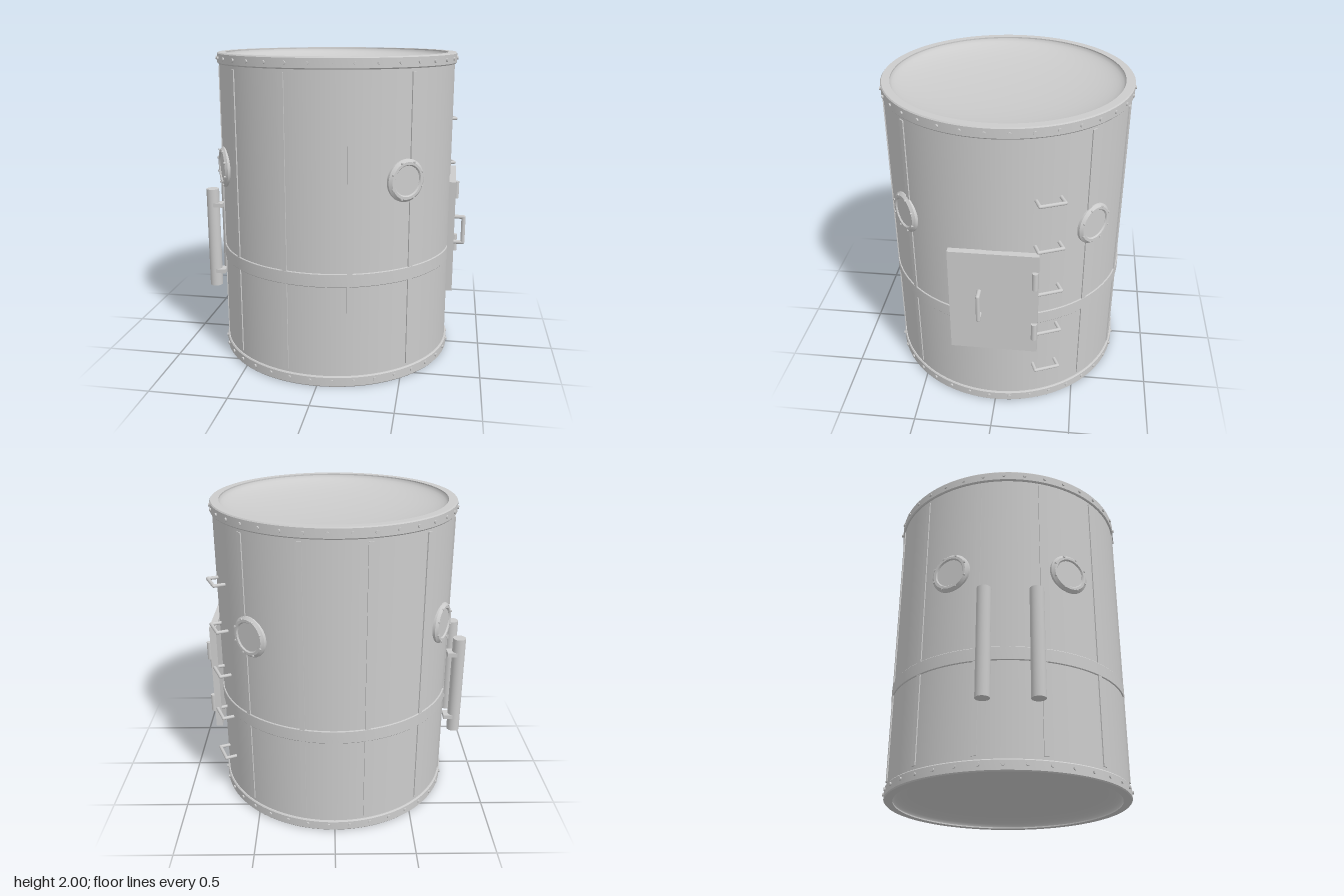
import * as THREE from 'three';
import { toCreasedNormals } from 'three/addons/utils/BufferGeometryUtils.js';

const R = 0.764; // shell radius
const SEG = 96;
const rad = THREE.MathUtils.degToRad;

export function createModel() {
  const model = new THREE.Group();
  const mat = new THREE.MeshStandardMaterial({ color: 0xcccccc });
  const matDouble = new THREE.MeshStandardMaterial({ color: 0xcccccc, side: THREE.DoubleSide });

  function add(name, geometry, x = 0, y = 0, z = 0, parent = model, material = mat) {
    const mesh = new THREE.Mesh(geometry, material);
    mesh.name = name;
    mesh.position.set(x, y, z);
    parent.add(mesh);
    return mesh;
  }
  // Group turned so that its local +z points outward; angle runs from front (+z) towards +x
  function around(name, deg, y = 0) {
    const g = new THREE.Group();
    g.name = name;
    g.rotation.y = rad(deg);
    g.position.y = y;
    model.add(g);
    return g;
  }
  const lathe = (pts, seg = SEG) =>
    toCreasedNormals(new THREE.LatheGeometry(pts.map(p => new THREE.Vector2(...p)), seg), rad(35));
  // Round bar bent through the given points
  function bar(name, pts, r) {
    const v = pts.map(p => new THREE.Vector3(...p));
    for (let i = 1; i < v.length; i++) {
      const d = v[i].clone().sub(v[i - 1]);
      const m = add(name, new THREE.CylinderGeometry(r, r, d.length(), 12));
      m.position.copy(v[i]).add(v[i - 1]).multiplyScalar(0.5);
      m.quaternion.setFromUnitVectors(new THREE.Vector3(0, 1, 0), d.normalize());
      if (i < v.length - 1) add(name + 'Corner', new THREE.SphereGeometry(r, 12, 8), ...pts[i]);
    }
  }

  // Shell
  add('shell', new THREE.CylinderGeometry(R, R, 1.9, SEG, 1, true), 0, 1, 0, model, matDouble);

  // End flanges, dished ends and flange bolts
  const flangeGeo = lathe([[0.72, 0], [0.77, 0], [0.776, 0.007], [0.776, 0.063],
    [0.77, 0.07], [0.74, 0.07], [0.72, 0.07], [0.72, 0]]);
  const dishPts = [];
  for (let i = 0; i <= 16; i++) {
    const t = (i / 16) * Math.PI / 2;
    dishPts.push(new THREE.Vector2(0.721 * Math.sin(t), -0.11 * Math.cos(t)));
  }
  const dishGeo = new THREE.LatheGeometry(dishPts, SEG);
  const boltGeo = new THREE.CylinderGeometry(0.011, 0.011, 0.02, 8).rotateX(Math.PI / 2);
  add('bottomFlange', flangeGeo);
  add('topFlange', flangeGeo, 0, 1.93, 0);
  add('topDish', dishGeo, 0, 1.995, 0, model, matDouble);
  add('bottomDish', dishGeo, 0, 0.005, 0, model, matDouble).rotation.x = Math.PI;
  for (let k = 0; k < 36; k++) {
    const g = around('flangeBolts', -3 + 10 * k);
    for (const y of [0.04, 1.965]) add('bolt', boltGeo, 0, y, 0.775, g);
  }

  // Girth band
  add('girthBand', lathe([[0.75, 0.652], [0.769, 0.652], [0.772, 0.656],
    [0.772, 0.733], [0.769, 0.737], [0.75, 0.737]]));

  // Vertical ribs, left out above and below the door
  for (let a = 15; a < 360; a += 30) {
    if (a === 75 || a === 105) continue;
    add('rib', new THREE.BoxGeometry(0.032, 1.82, 0.02), 0, 1.002, 0.761, around('ribMount', a));
  }

  // Portholes: low chamfered rings with a nearly flush pane
  const ringGeo = lathe([[0.094, -0.025], [0.13, -0.025], [0.13, -0.002], [0.113, 0.014],
    [0.097, 0.014], [0.09, 0.006], [0.09, -0.01]], 40).rotateX(Math.PI / 2);
  const paneGeo = new THREE.CylinderGeometry(0.092, 0.092, 0.03, 40).rotateX(Math.PI / 2);
  const studGeo = new THREE.CylinderGeometry(0.007, 0.007, 0.016, 8).rotateX(Math.PI / 2);
  for (const a of [41.5, 138.5, 241.5, 298.5]) {
    const g = around('porthole', a, 1.28);
    add('portholeRing', ringGeo, 0, 0, 0.772, g, matDouble);
    add('portholePane', paneGeo, 0, 0, 0.762, g);
    for (let k = 0; k < 8; k++) {
      const t = (k + 0.5) * Math.PI / 4;
      add('portholeBolt', studGeo, 0.115 * Math.cos(t), 0.115 * Math.sin(t), 0.784, g);
    }
  }

  // Door with hinges and pull handle
  add('door', new THREE.BoxGeometry(0.042, 0.725, 0.54), 0.781, 0.848, 0);
  for (const y of [0.656, 1.042])
    add('doorHinge', new THREE.CylinderGeometry(0.018, 0.018, 0.12, 16), 0.81, y, -0.25);
  bar('doorHandle', [[0.8, 0.763, 0.085], [0.861, 0.763, 0.085], [0.861, 0.937, 0.085], [0.8, 0.937, 0.085]], 0.0135);

  // Ladder rungs beside the door
  for (let k = 0; k < 5; k++) {
    const y = 0.311 + 0.3075 * k;
    bar('ladderRung', [[0.66, y, -0.375], [0.728, y, -0.405], [0.787, y, -0.265], [0.71, y, -0.235]], 0.011);
  }

  // Pair of upright bottles on brackets
  for (const s of [-1, 1]) {
    add('bottle', new THREE.CylinderGeometry(0.043, 0.043, 0.692, 32), -0.837, 0.734, s * 0.155);
    for (const y of [0.496, 0.971])
      add('bottleBracket', new THREE.BoxGeometry(0.08, 0.028, 0.078), -0.8, y, s * 0.157);
  }
  return model;
}
